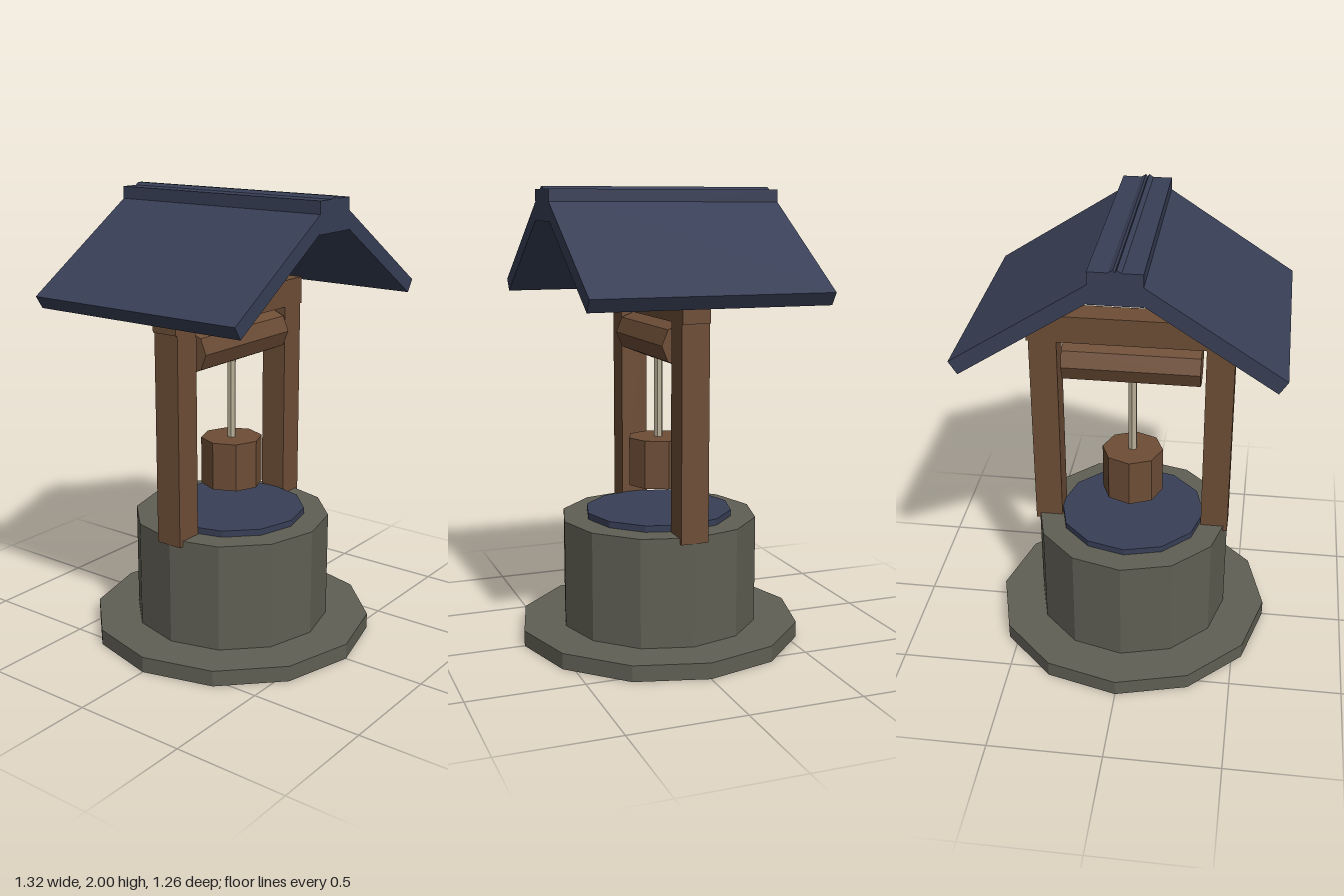
import * as THREE from 'three';

function material(name, color) {
  const m = new THREE.MeshStandardMaterial({ color, flatShading: true });
  m.name = name;
  return m;
}

export function createModel() {
  const model = new THREE.Group();
  model.name = 'well';

  const stone = material('stone', 0x605f54);
  const wood = material('wood', 0x6d4d36);
  const slate = material('slate blue', 0x383f56);
  const rope = material('rope', 0xb8ae96);

  const add = (name, geometry, mat, x, y, z = 0) => {
    const mesh = new THREE.Mesh(geometry, mat);
    mesh.name = name;
    mesh.position.set(x, y, z);
    model.add(mesh);
    return mesh;
  };
  // Upright prism standing between two heights
  const prism = (name, radius, y0, y1, sides, mat) =>
    add(name, new THREE.CylinderGeometry(radius, radius, y1 - y0, sides), mat, 0, (y0 + y1) / 2);

  // Stone ring and the dark disc in its mouth
  prism('basePlinth', 0.63, 0, 0.07, 12, stone);
  prism('wellWall', 0.44, 0.07, 0.55, 12, stone);
  prism('wellMouth', 0.33, 0.54, 0.578, 12, slate);

  // Wooden frame
  for (const side of [-1, 1]) {
    add(side > 0 ? 'leftPost' : 'rightPost',
      new THREE.BoxGeometry(0.122, 0.925, 0.122), wood, side * 0.382, 0.9875);
  }
  add('crossBeam', new THREE.BoxGeometry(0.905, 0.122, 0.122), wood, 0, 1.509);

  // Winding roller, rope and bucket
  const roller = add('roller', new THREE.CylinderGeometry(0.095, 0.095, 0.6, 8), wood, 0, 1.345);
  roller.rotation.z = Math.PI / 2;
  prism('rope', 0.02, 0.9, 1.27, 6, rope);
  prism('bucket', 0.137, 0.69, 0.905, 8, wood);

  // Roof slabs, sloping down from the ridge on each side
  const pitch = 0.574, length = 0.779, thick = 0.064;
  for (const side of [-1, 1]) {
    const x = 0.007 + Math.cos(pitch) * length / 2 - Math.sin(pitch) * thick / 2;
    const y = 2 - Math.sin(pitch) * length / 2 - Math.cos(pitch) * thick / 2;
    const slab = add(side > 0 ? 'leftRoofSlab' : 'rightRoofSlab',
      new THREE.BoxGeometry(length, thick, 1.036), slate, side * x, y);
    slab.rotation.z = -side * pitch;
  }
  add('ridgeCap', new THREE.BoxGeometry(0.214, 0.133, 1.036), slate, 0, 1.9215);

  return model;
}
